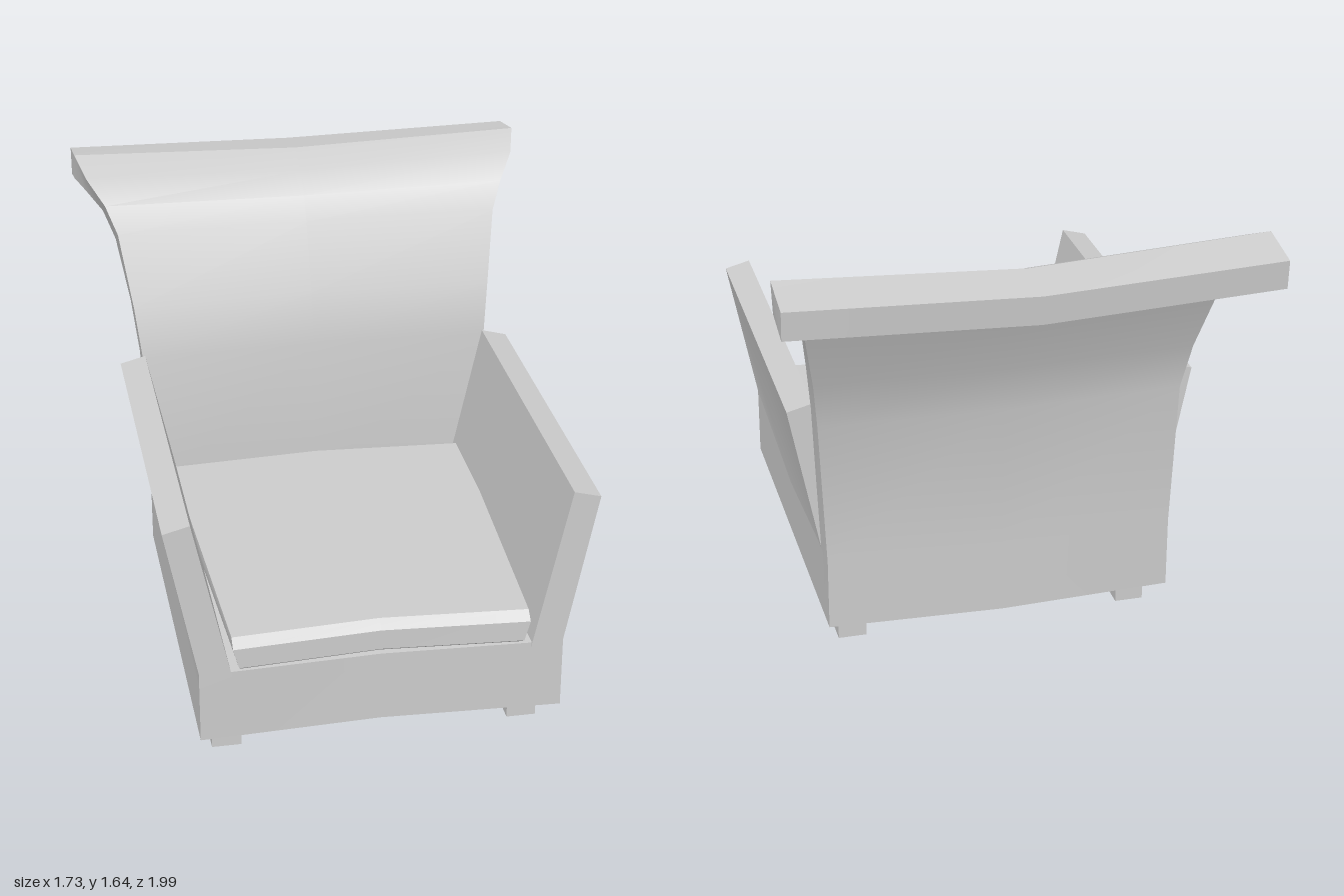
import * as THREE from 'three';
import { toCreasedNormals } from 'three/addons/utils/BufferGeometryUtils.js';

const grey = new THREE.MeshStandardMaterial({ color: 0xcccccc });

// Closed solid through rings of points; the ends are fans from the first point
function loft(rings) {
  const n = rings[0].length, last = rings.length - 1, idx = [];
  for (let r = 0; r < last; r++)
    for (let i = 0; i < n; i++) {
      const a = r * n + i, b = r * n + (i + 1) % n;
      idx.push(a, b, b + n, a, b + n, a + n);
    }
  for (let i = 1; i < n - 1; i++) {
    idx.push(0, i + 1, i);
    idx.push(last * n, last * n + i, last * n + i + 1);
  }
  // Turn the faces outward when the enclosed volume is negative
  const p = rings.flat().map(v => new THREE.Vector3(...v));
  let volume = 0;
  for (let i = 0; i < idx.length; i += 3)
    volume += p[idx[i]].dot(p[idx[i + 1]].clone().cross(p[idx[i + 2]]));
  if (volume < 0) idx.reverse();
  const g = new THREE.BufferGeometry().setFromPoints(p);
  g.setIndex(idx);
  return toCreasedNormals(g, 0.42);
}

// Slab whose middle is bowed backward (and downward by sag).
// Row: front z, front y, back z, back y, half width, sag, back half width
function bowedSlab(rows, bow = 0.028) {
  return loft(rows.map(([fz, fy, bz, by, w, sag = 0, bw = w]) => [
    [0, fy - sag, fz - bow], [w, fy, fz], [bw, by, bz],
    [0, by - sag, bz - bow], [-bw, by, bz], [-w, fy, fz],
  ]));
}

export function createModel() {
  const group = new THREE.Group();
  const add = (name, geometry) => {
    const mesh = new THREE.Mesh(geometry, grey);
    mesh.name = name;
    group.add(mesh);
    return mesh;
  };

  // Seat base
  add('seatBase', bowedSlab([
    [0.985, 0.12, -0.4, 0.12, 0.645],
    [0.985, 0.385, -0.4, 0.385, 0.645],
  ]));

  // Backrest, flaring outward and rolling over at the top
  add('backrest', bowedSlab([
    [-0.36, 0.12, -0.485, 0.12, 0.645],
    [-0.36, 0.39, -0.485, 0.39, 0.645],
    [-0.37, 0.96, -0.488, 0.94, 0.668],
    [-0.42, 1.15, -0.55, 1.13, 0.69],
    [-0.53, 1.41, -0.645, 1.35, 0.73, 0.01],
    [-0.58, 1.51, -0.69, 1.45, 0.77, 0.02],
    [-0.67, 1.59, -0.74, 1.52, 0.83, 0.032],
    [-0.79, 1.645, -0.82, 1.54, 0.863, 0.035],
    [-0.973, 1.61, -0.965, 1.505, 0.863, 0.025],
  ]));

  // Seat cushion with bevelled upper edges
  add('seatCushion', bowedSlab([
    [0.965, 0.385, -0.36, 0.385, 0.5, 0, 0.56],
    [0.985, 0.4, -0.36, 0.4, 0.505, 0, 0.565],
    [0.985, 0.475, -0.36, 0.475, 0.525, 0, 0.58],
    [0.95, 0.505, -0.33, 0.505, 0.525, 0, 0.575],
  ], 0.035));

  // Outward-leaning arms
  for (const s of [1, -1]) {
    add(s > 0 ? 'leftArm' : 'rightArm', loft([
      [0.985, 0.39, 0.53], [0.25, 0.34, 0.53], [-0.365, 0.39, 0.53],
    ].map(([z, bend, inner]) => [
      [s * inner, 0.37, z], [s * 0.66, 0.975, z],
      [s * 0.755, 0.95, z], [s * 0.645, bend, z], [s * 0.645, 0.33, z],
    ])));

    // Square feet
    for (const [end, z] of [['front', 0.802], ['back', -0.318]]) {
      const foot = add(`${end}${s > 0 ? 'Left' : 'Right'}Foot`, new THREE.BoxGeometry(0.106, 0.12, 0.114));
      foot.position.set(s * 0.538, 0.06, z);
    }
  }

  return group;
}
